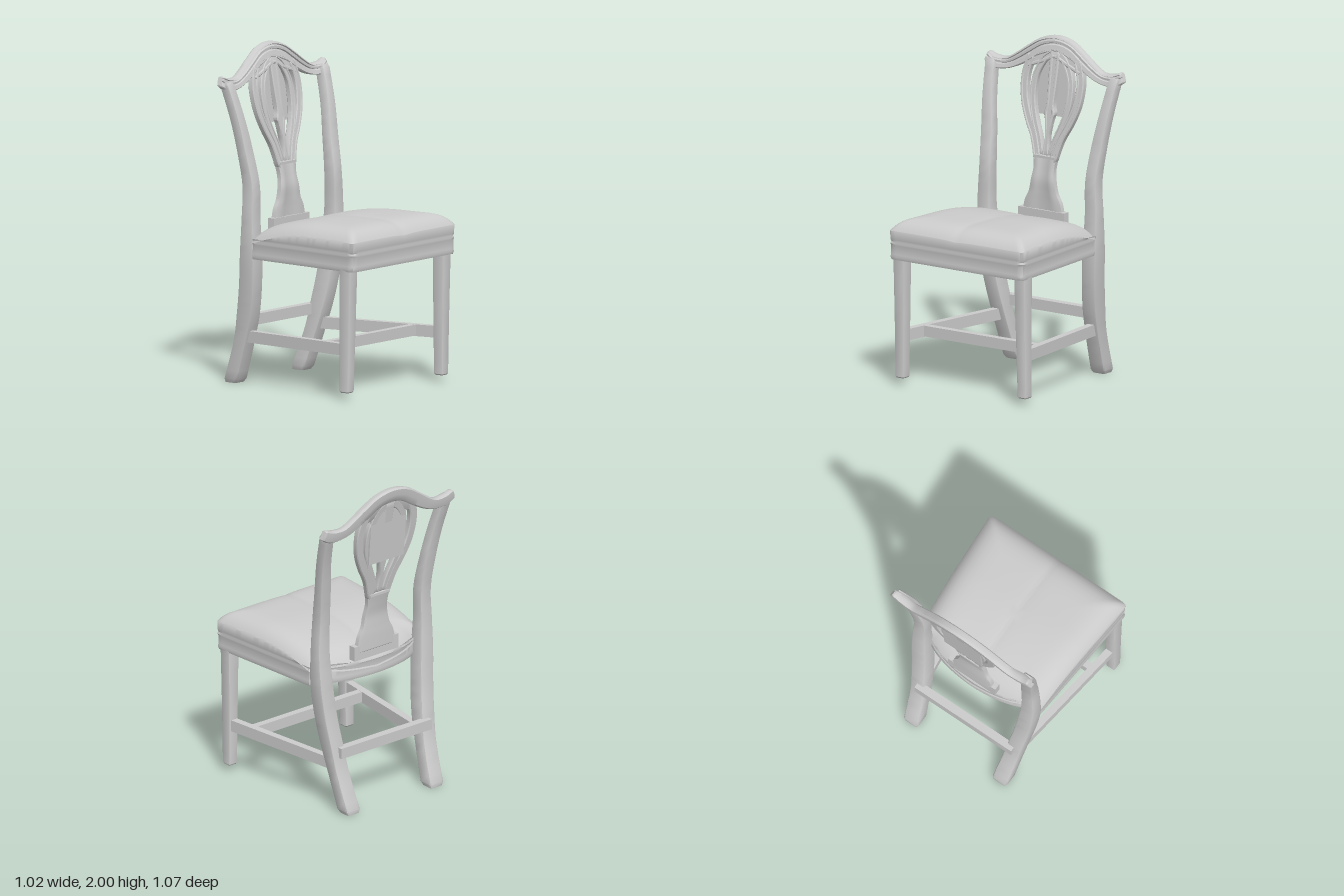
import * as THREE from 'three';
import { toCreasedNormals } from 'three/addons/utils/BufferGeometryUtils.js';

const material = new THREE.MeshStandardMaterial({ color: 0xcccccc });

// Cross-sections, anticlockwise: u across the member, v toward the front
const PLAIN = [[.5, -.38], [.5, .38], [.46, .46], [.38, .5], [-.38, .5], [-.46, .46], [-.5, .38],
  [-.5, -.38], [-.46, -.46], [-.38, -.5], [.38, -.5], [.46, -.46]];
const BEADED = [[.5, -.35], [.5, .35], [.4, .5], [.25, .5], [.18, .36], [-.18, .36], [-.25, .5],
  [-.4, .5], [-.5, .35], [-.5, -.35], [-.4, -.5], [.4, -.5]];
const MOULDED = [[.5, -.2], [.5, .1], [.45, .4], [.35, .5], [.3, .3], [.25, .3], [.2, .5], [.05, .45],
  [0, .25], [-.05, .25], [-.1, .37], [-.42, .42], [-.5, .3], [-.5, -.3], [-.4, -.45], [0, -.5], [.4, -.45]];

// Closed skin over a stack of rings, capped at both ends
function skin(rings, crease = 0.6) {
  const n = rings[0].length, pos = [], idx = [];
  rings.forEach(r => r.forEach(p => pos.push(p.x, p.y, p.z)));
  for (let i = 0; i < rings.length - 1; i++) {
    for (let j = 0; j < n; j++) {
      const a = i * n + j, b = i * n + (j + 1) % n;
      idx.push(a, b, b + n, a, b + n, a + n);
    }
  }
  [0, rings.length - 1].forEach((r, end) => {
    const c = rings[r].reduce((s, p) => s.add(p), new THREE.Vector3()).divideScalar(n);
    const ci = pos.length / 3;
    pos.push(c.x, c.y, c.z);
    for (let j = 0; j < n; j++) {
      const a = r * n + j, b = r * n + (j + 1) % n;
      if (end) idx.push(ci, a, b); else idx.push(ci, b, a);
    }
  });
  const g = new THREE.BufferGeometry();
  g.setAttribute('position', new THREE.Float32BufferAttribute(pos, 3));
  g.setIndex(idx);
  return toCreasedNormals(g, crease);
}

// Curved member through points [x, y, z, width, depth]; level keeps sections horizontal
function member(pts, section = PLAIN, level = false, steps = 36) {
  const path = new THREE.CatmullRomCurve3(pts.map(p => new THREE.Vector3(p[0], p[1], p[2])), false, 'catmullrom');
  const size = new THREE.CatmullRomCurve3(pts.map(p => new THREE.Vector3(p[3], p[4], 0)), false, 'catmullrom');
  const rings = [];
  for (let i = 0; i <= steps; i++) {
    const end = i === 0 || i === steps;
    const t = end ? i / steps : 0.01 + 0.98 * (i - 1) / (steps - 2);
    const c = path.getPoint(t), s = size.getPoint(t).multiplyScalar(end ? 0.82 : 1);
    const tan = level ? new THREE.Vector3(0, 1, 0) : path.getTangent(t).setZ(0).normalize();
    const nx = -tan.y, ny = tan.x;
    rings.push(section.map(([u, v]) => new THREE.Vector3(
      c.x + nx * u * s.x, c.y + ny * u * s.x, c.z + v * s.y - 0.2 * ny * u * s.x)));
  }
  return skin(rings);
}

// Seat: outline rings with a moulded rail, then a domed cushion
function seatGeometry() {
  const o = new THREE.Shape();
  o.moveTo(-.465, -.54);
  o.lineTo(.465, -.54);
  o.quadraticCurveTo(.495, -.54, .493, -.51);
  o.lineTo(.44, .27);
  o.lineTo(.36, .28);
  o.bezierCurveTo(.27, .345, .1, .365, 0, .365);
  o.bezierCurveTo(-.1, .365, -.27, .345, -.36, .28);
  o.lineTo(-.44, .27);
  o.lineTo(-.493, -.51);
  o.quadraticCurveTo(-.495, -.54, -.465, -.54);
  const outline = o.getSpacedPoints(160).slice(0, -1);
  const mid = 0.09;
  const ring = (s, height) => outline.map(p => {
    const x = p.x * s, z = mid + (-p.y - mid) * s;
    return new THREE.Vector3(x, height(x, z), z);
  });
  const crown = z => 1.022 - 0.075 * Math.pow(Math.max(0, 0.2 - z) / 0.45, 2.1);
  const rings = [[.97, .768], [.985, .768], [.996, .785], [.99, .80], [.99, .855], [.998, .866], [.988, .878], [.996, .89]]
    .map(([s, y]) => ring(s, (x, z) => Math.min(y, crown(z) - 0.03)));
  for (const s of [1, .996, .985, .965, .94, .9, .85, .78, .7, .6, .48, .36, .24, .12, .02]) {
    rings.push(ring(s, (x, z) => crown(z) - 0.08 * Math.pow(s, 9) - 0.008 * Math.exp(-Math.abs(x) / 0.05)));
  }
  return skin(rings, 0.7);
}

export function createModel() {
  const chair = new THREE.Group();
  chair.name = 'chair';
  const add = (name, geometry) => {
    const m = new THREE.Mesh(geometry, material);
    m.name = name;
    chair.add(m);
    return m;
  };
  // Straight bar between two points
  const bar = (name, a, b, w, h) => {
    const A = new THREE.Vector3(...a), B = new THREE.Vector3(...b);
    const m = add(name, new THREE.BoxGeometry(w, h, A.distanceTo(B)));
    m.position.copy(A).add(B).multiplyScalar(0.5);
    m.lookAt(B);
  };

  add('seat', seatGeometry());

  // Legs, back posts and side stretchers
  for (const [side, k] of [['left', 1], ['right', -1]]) {
    add(side + 'FrontLeg', member([[k * .45, .04, .458, .062, .066], [k * .447, .4, .462, .07, .074],
      [k * .445, .8, .467, .08, .085]], PLAIN, true, 14));
    add(side + 'BackPost', member([
      [.32, 0, -.49, .105, .10], [.338, .25, -.405, .10, .095], [.353, .42, -.362, .10, .11],
      [.372, .6, -.33, .10, .11], [.388, .8, -.3125, .10, .105], [.395, 1, -.308, .088, .085],
      [.39, 1.2, -.311, .08, .08], [.405, 1.4, -.343, .08, .068], [.43, 1.6, -.383, .07, .066],
      [.456, 1.815, -.446, .064, .066]].map(([x, ...r]) => [k * x, ...r]), PLAIN, true, 48));
    bar(side + 'Stretcher', [k * .448, .297, .45], [k * .345, .288, -.39], .045, .07);
  }
  bar('middleStretcher', [-.43, .297, .28], [.43, .297, .28], .045, .065);
  bar('backStretcher', [-.35, .37, -.425], [.35, .37, -.425], .05, .065);

  // Serpentine crest rail
  const half = [[.5, 1.823, -.458, .065, .045], [.44, 1.797, -.452, .075, .06], [.35, 1.798, -.458, .068, .056],
    [.27, 1.833, -.463, .08, .055], [.19, 1.883, -.47, .088, .055], [.1, 1.937, -.48, .088, .055]];
  add('crestRail', member([...half.map(([x, ...r]) => [-x, ...r]), [0, 1.957, -.484, .088, .055],
    ...half.slice().reverse()], MOULDED, false, 72));

  // Pierced splat, leaning back with the posts
  const lean = y => -.34 - .17 * Math.max(0, y - 1.15);
  const rib = (name, pts, d, level, k = 1) =>
    add(name, member(pts.map(([x, y, w]) => [k * x, y, lean(y), w, d]), BEADED, level));
  rib('splatBase', [[0, .93, .30], [0, 1.02, .26], [0, 1.08, .2], [0, 1.15, .17], [0, 1.22, .15],
    [0, 1.30, .17]], .04, true);
  bar('splatShoe', [-.17, .93, -.335], [.17, .93, -.335], .045, .09);
  bar('splatCollar', [-.075, 1.29, lean(1.29)], [.075, 1.29, lean(1.29)], .052, .015);
  rib('centreRib', [[0, 1.3, .05], [0, 1.4, .025], [0, 1.46, .035], [0, 1.52, .06], [0, 1.55, .08],
    [0, 1.6, .05], [0, 1.7, .058], [0, 1.8, .066], [0, 1.91, .07]], .04, true);
  for (const [side, k] of [['left', 1], ['right', -1]]) {
    rib(side + 'OuterRib', [[.055, 1.27, .05], [.095, 1.4, .05], [.147, 1.5, .052], [.187, 1.6, .052],
      [.203, 1.7, .052], [.198, 1.78, .052], [.17, 1.87, .055]], .04, false, k);
    rib(side + 'InnerRib', [[.035, 1.3, .04], [.062, 1.4, .038], [.103, 1.5, .04], [.13, 1.6, .04],
      [.135, 1.7, .04], [.12, 1.78, .042], [.075, 1.86, .045], [.02, 1.9, .045]], .038, false, k);
  }
  rib('splatHead', [[-.2, 1.825, .06], [-.1, 1.868, .075], [0, 1.9, .06], [.1, 1.868, .075], [.2, 1.825, .06]], .036, false);

  // Thin panel behind the upper splat
  bar('backPanel', [0, 1.525, -.44], [0, 1.87, -.468], .27, .012);
  return chair;
}
